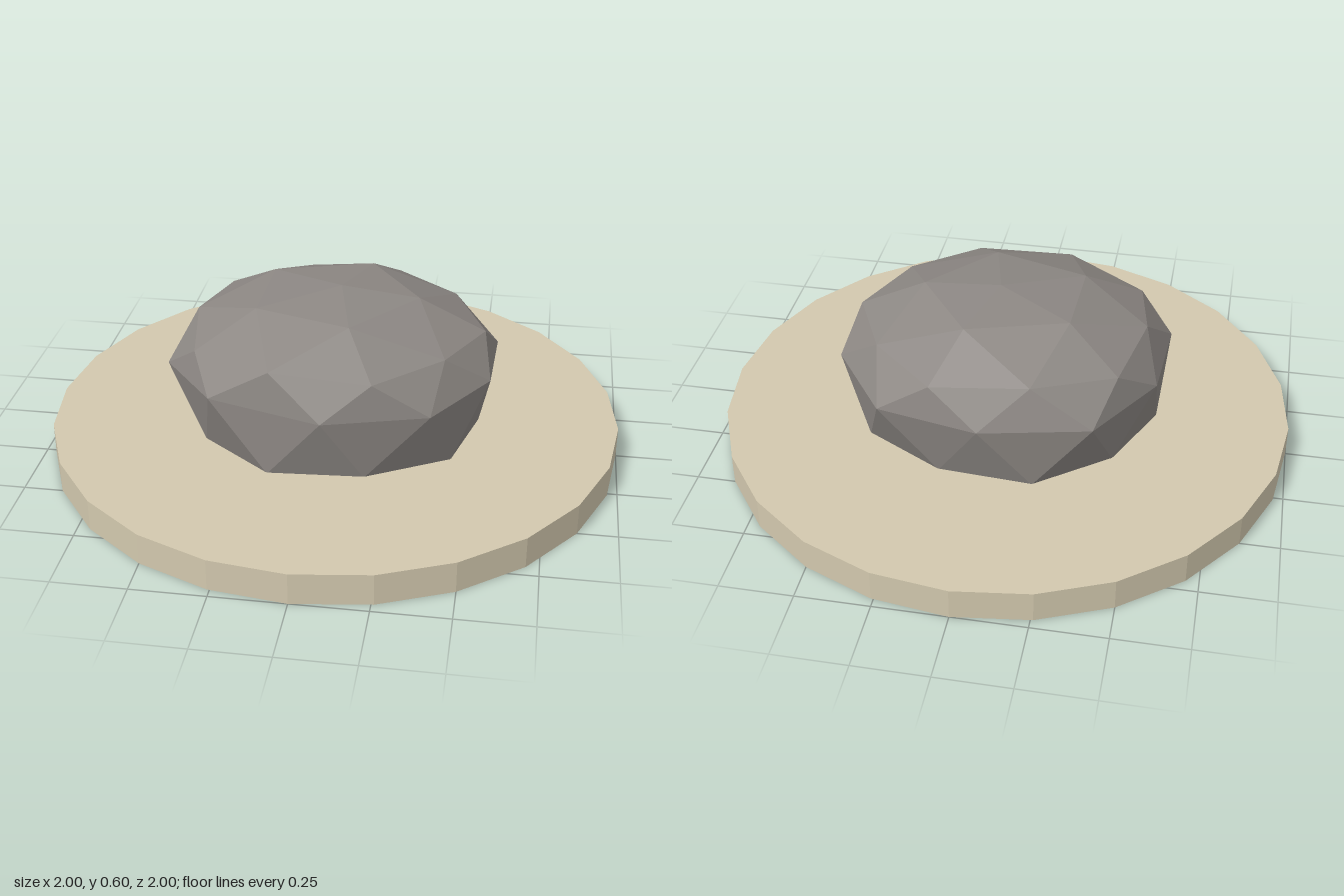
import * as THREE from 'three';

// Boulder rings as [x, y, z], going round from +x towards +z
const crown = [[0.29, 0.57, 0], [0.08, 0.565, 0.25], [-0.25, 0.565, 0.15], [-0.24, 0.57, -0.16], [0.1, 0.57, -0.26]];
const shoulder = [
  [0.52, 0.46, 0], [0.4, 0.47, 0.25], [0.18, 0.46, 0.44], [-0.16, 0.475, 0.43], [-0.44, 0.45, 0.27],
  [-0.485, 0.48, 0], [-0.42, 0.455, -0.28], [-0.15, 0.475, -0.42], [0.18, 0.46, -0.45], [0.4, 0.47, -0.26],
];
const girth = [
  [0.55, 0.35, 0.15], [0.37, 0.34, 0.41], [0.02, 0.335, 0.5], [-0.37, 0.345, 0.4], [-0.56, 0.345, 0.17],
  [-0.54, 0.345, -0.15], [-0.36, 0.34, -0.43], [0.01, 0.34, -0.51], [0.36, 0.34, -0.44], [0.56, 0.34, -0.16],
];
// Foot ring: alternate corners stand slightly further out
const foot = Array.from({ length: 10 }, (_, j) => {
  const a = (j * Math.PI) / 5, s = j % 2 ? 1.05 : 1;
  return [0.51 * s * Math.cos(a), 0.105, 0.455 * s * Math.sin(a)];
});

function boulderGeometry() {
  const top = [0.02, 0.595, -0.01], bottom = [0, 0.105, 0];
  const points = [];
  const tri = (...corners) => corners.forEach((p) => points.push(...p));

  // Crown cap and its fringe down to the shoulder
  for (let k = 0; k < 5; k++) {
    const a = crown[k], b = crown[(k + 1) % 5];
    const s0 = shoulder[2 * k], mid = shoulder[2 * k + 1], s1 = shoulder[(2 * k + 2) % 10];
    tri(top, b, a);
    tri(a, b, mid);
    tri(a, mid, s0);
    tri(b, s1, mid);
  }
  // Zigzag bands down the sides, then the closed underside
  for (let j = 0; j < 10; j++) {
    const n = (j + 1) % 10;
    tri(shoulder[j], shoulder[n], girth[j]);
    tri(shoulder[n], girth[n], girth[j]);
    tri(girth[j], girth[n], foot[n]);
    tri(girth[j], foot[n], foot[j]);
    tri(bottom, foot[j], foot[n]);
  }
  const geometry = new THREE.BufferGeometry();
  geometry.setAttribute('position', new THREE.Float32BufferAttribute(points, 3));
  geometry.computeVertexNormals();
  return geometry;
}

export function createModel() {
  const sand = new THREE.MeshStandardMaterial({ name: 'sand', color: 0xd2c8ae, flatShading: true });
  const stone = new THREE.MeshStandardMaterial({ name: 'stone', color: 0x8c8783, flatShading: true });

  const group = new THREE.Group();
  group.name = 'boulderOnDisc';

  // Round ground disc
  const disc = new THREE.Mesh(new THREE.CylinderGeometry(1, 1, 0.11, 24), sand);
  disc.name = 'groundDisc';
  disc.position.y = 0.055;

  // Faceted boulder
  const boulder = new THREE.Mesh(boulderGeometry(), stone);
  boulder.name = 'boulder';

  group.add(disc, boulder);
  return group;
}
